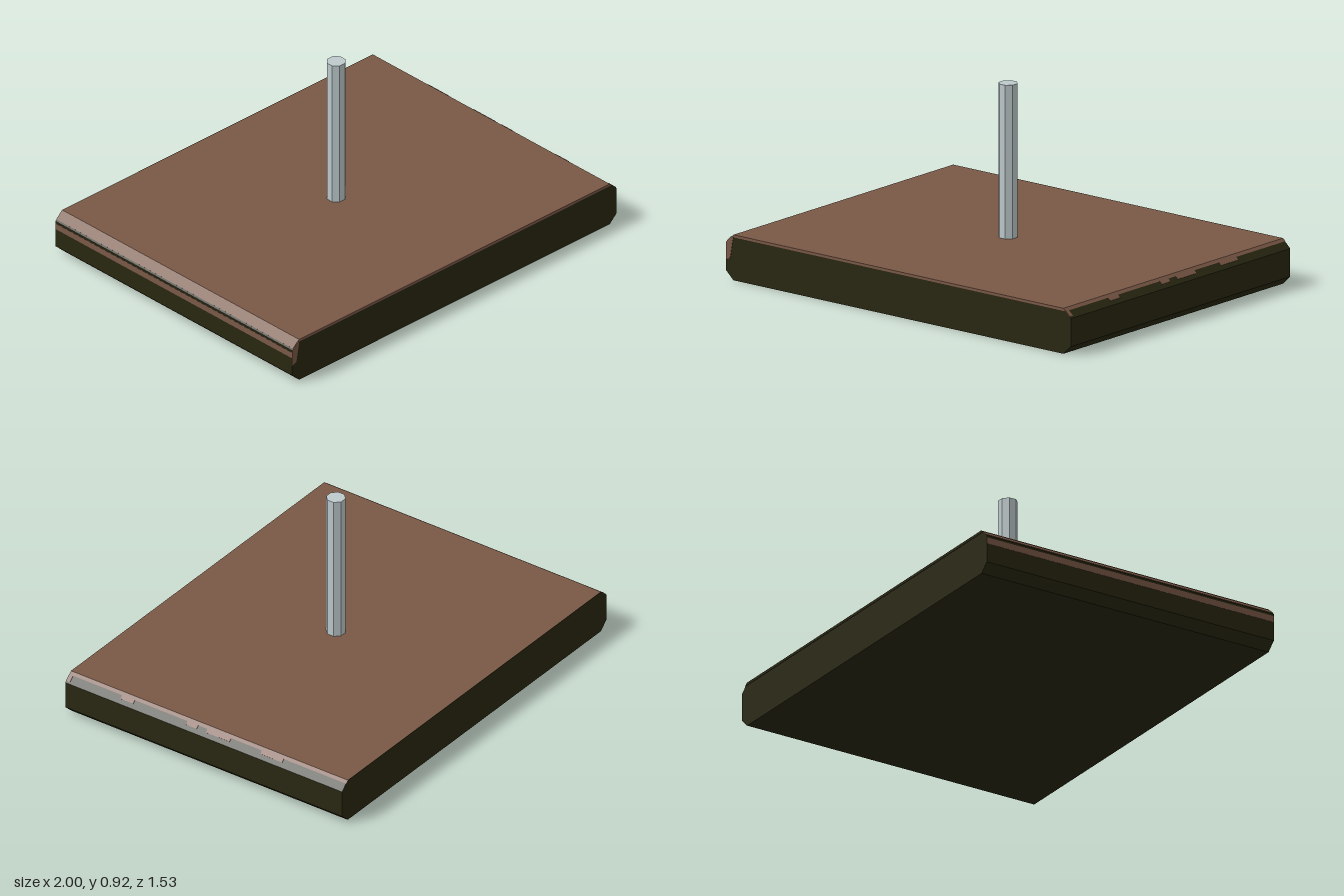
import * as THREE from 'three';

const DEPTH = 1.524, HALF = DEPTH / 2;
const TOP = 0.21, SHOULDER = 0.17, INNER = 0.957, SPLIT = 0.198;

// x of the upper chamfer at a given height
const chamferX = (y) => INNER + ((TOP - y) / (TOP - SHOULDER)) * (1 - INNER);

export function createModel() {
  const group = new THREE.Group();
  const material = (name, color) => {
    const m = new THREE.MeshStandardMaterial({ color });
    m.name = name;
    return m;
  };
  const wood = material('brown top', 0x7a5846);
  const dark = material('dark olive side', 0x292711);
  const metal = material('pale metal', 0xbecacd);

  // extrude an x-y outline between two z positions
  const prism = (name, points, z0, z1, mat) => {
    const shape = new THREE.Shape(points.map(([x, y]) => new THREE.Vector2(x, y)));
    const geometry = new THREE.ExtrudeGeometry(shape, { depth: z1 - z0, bevelEnabled: false });
    geometry.translate(0, 0, z0);
    const mesh = new THREE.Mesh(geometry, mat);
    mesh.name = name;
    group.add(mesh);
  };
  // thin plate lying on the upper chamfer of one side
  const chamferPlate = (name, side, y0, y1, z0, z1, mat) => {
    const a = chamferX(y0), b = chamferX(y1), t = 0.0015;
    const points = [[a, y0], [a + t, y0 + t], [b + t, y1 + t], [b, y1]];
    prism(name, points.map(([x, y]) => [x * side, y]), z0, z1, mat);
  };

  // slab: dark lower body and brown top layer
  const s = chamferX(SPLIT);
  prism('slabBody', [[-INNER, 0], [INNER, 0], [1, 0.04], [1, SHOULDER],
    [s, SPLIT], [-s, SPLIT], [-1, SHOULDER], [-1, 0.04]], -HALF, HALF, dark);
  prism('slabTop', [[-s, SPLIT], [s, SPLIT], [INNER, TOP], [-INNER, TOP]], -HALF, HALF, wood);

  // dark edge of the top layer along the back
  prism('backEdge', [[-s, SPLIT], [s, SPLIT], [INNER, TOP], [-INNER, TOP]], -HALF - 0.002, -HALF, dark);

  // brown chamfer, side band and front corner at -x
  chamferPlate('brownChamfer', -1, 0.176, SPLIT, -HALF, HALF, wood);
  prism('sideBand', [[-1.001, 0.13], [-0.999, 0.13], [-0.999, 0.16], [-1.001, 0.16]], -HALF, HALF, wood);
  prism('frontCorner', [[-1, 0.09], [-0.975, 0.1], [-0.957, 0.2], [-s, SPLIT], [-1, SHOULDER]],
    HALF, HALF + 0.0015, wood);

  // small brown chips along the chamfer at +x
  for (const [z0, z1, y] of [[0.74, HALF, 0.176], [0.4, 0.47, 0.186], [0.05, 0.11, 0.186],
    [-0.13, 0, 0.186], [-0.42, -0.3, 0.186]]) {
    chamferPlate('edgeChip', 1, y, SPLIT, z0, z1, wood);
  }

  // eight-sided upright rod
  const rodGeometry = new THREE.CylinderGeometry(0.0445, 0.0445, 0.92 - TOP, 8).toNonIndexed();
  rodGeometry.rotateY(Math.PI / 8);
  rodGeometry.computeVertexNormals();
  const rod = new THREE.Mesh(rodGeometry, metal);
  rod.name = 'rod';
  rod.position.y = (0.92 + TOP) / 2;
  group.add(rod);

  return group;
}
